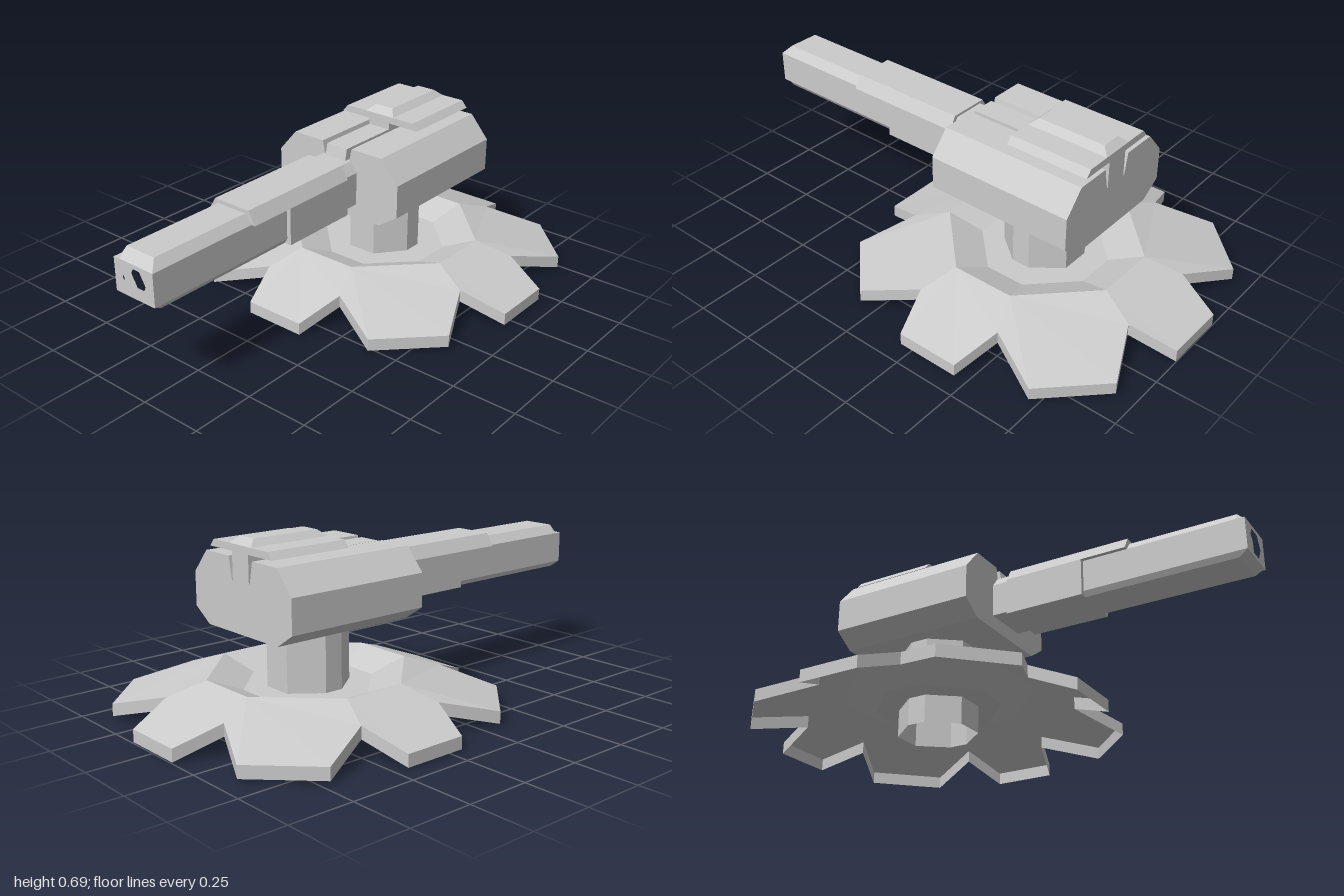
import * as THREE from 'three';

const mat = new THREE.MeshStandardMaterial({ color: 0xcccccc, flatShading: true });
const openMat = new THREE.MeshStandardMaterial({
  color: 0xcccccc, flatShading: true, side: THREE.DoubleSide,
});
const BASE_X = 0.325;

function add(parent, name, geometry, material = mat) {
  const mesh = new THREE.Mesh(geometry, material);
  mesh.name = name;
  parent.add(mesh);
}

// Extrudes a [z, y] outline along x from x0 to x1
function prism(outline, x0, x1, hole) {
  const toPoints = (list) => list.map(([z, y]) => new THREE.Vector2(-z, y));
  const shape = new THREE.Shape(toPoints(outline));
  if (hole) shape.holes.push(new THREE.Path(toPoints(hole)));
  const geo = new THREE.ExtrudeGeometry(shape, { depth: x1 - x0, bevelEnabled: false });
  return geo.rotateY(Math.PI / 2).translate(x0, 0, 0);
}

// Completes a half outline by mirroring it in z
const mirror = (half) => [...half, ...half.map(([z, y]) => [-z, y]).reverse()];

// Moves each vertex by a rule that edits a Vector3
function reshape(geo, rule) {
  const p = geo.attributes.position;
  const v = new THREE.Vector3();
  for (let i = 0; i < p.count; i++) {
    v.fromBufferAttribute(p, i);
    rule(v);
    p.setXYZ(i, v.x, v.y, v.z);
  }
  geo.computeVertexNormals();
  return geo;
}

// Flat polygons to one geometry, centred on the base axis
function polygons(list) {
  const pos = [];
  for (const pts of list) {
    for (let i = 1; i < pts.length - 1; i++) {
      pos.push(...pts[0], ...pts[i], ...pts[i + 1]);
    }
  }
  const geo = new THREE.BufferGeometry();
  geo.setAttribute('position', new THREE.Float32BufferAttribute(pos, 3));
  geo.computeVertexNormals();
  return geo.translate(BASE_X, 0, 0);
}

// Eight-petalled shell, open below, with a sunken middle and a short skirt
function baseGeometry() {
  const faces = [];
  const lower = ([x, y, z]) => [x, y - 0.048, z];
  const ring = ([x, , z], k) => [x * k, 0.11, z * k];
  const axial = [[0.37, 0.165, -0.125], [0.505, 0.117, -0.18], [0.675, 0.053, -0.125],
    [0.675, 0.053, 0.125], [0.505, 0.117, 0.18], [0.37, 0.165, 0.125]];
  const diagonal = [[0.37, 0.165, 0.125], [0.505, 0.117, 0.18], [0.605, 0.06, 0.395],
    [0.395, 0.06, 0.605], [0.18, 0.117, 0.505], [0.125, 0.165, 0.37]];
  for (let q = 0; q < 4; q++) {
    const c = [1, 0, -1, 0][q], s = [0, 1, 0, -1][q];
    for (const petal of [axial, diagonal]) {
      const p = petal.map(([x, y, z]) => [x * c - z * s, y, x * s + z * c]);
      faces.push([...p].reverse());
      for (let i = 1; i < 4; i++) faces.push([p[i], p[i + 1], lower(p[i + 1]), lower(p[i])]);
      const [a, b] = [p[0], p[5]];
      faces.push([ring(a, 0.65), ring(b, 0.65), b, a]);
      faces.push([ring(a, 0.38), ring(b, 0.38), ring(b, 0.65), ring(a, 0.65)]);
    }
  }
  return polygons(faces);
}

// Eight-sided open post
function columnGeometry() {
  const outline = [[0.147, -0.06], [0.147, 0.06], [0.037, 0.147], [-0.037, 0.147],
    [-0.147, 0.06], [-0.147, -0.06], [-0.037, -0.147], [0.037, -0.147]];
  return polygons(outline.map(([x, z], i) => {
    const [x2, z2] = outline[(i + 1) % 8];
    return [[x, 0.36, z], [x2, 0.36, z2], [x2, 0, z2], [x, 0, z]];
  }));
}

export function createModel() {
  const model = new THREE.Group();
  model.name = 'turret';

  add(model, 'petalBase', baseGeometry(), openMat);
  add(model, 'column', columnGeometry(), openMat);

  // Housing with two lobes either side of a central spine
  const housing = new THREE.Group();
  housing.name = 'housing';
  model.add(housing);
  add(housing, 'housingShell', prism(mirror([[0.205, 0.345], [0.288, 0.4], [0.288, 0.53],
    [0.21, 0.62], [0.07, 0.62], [0.053, 0.535]]), 0.02, 0.62));
  add(housing, 'rearSpine', prism(mirror([[0.048, 0.5], [0.048, 0.645]]), 0.28, 0.62));
  add(housing, 'frontSpine', reshape(
    prism(mirror([[0.048, 0.5], [0.048, 0.615]]), -0.005, 0.28),
    (v) => { if (v.y > 0.6 && v.x < 0.1) v.x = 0.02; }));

  // Top plate and ridge with sloped ends
  add(housing, 'topPlate', prism(mirror([[0.183, 0.64], [0.16, 0.667]]), 0.28, 0.62));
  add(housing, 'topRidge', reshape(
    prism(mirror([[0.067, 0.666], [0.04, 0.692]]), 0.28, 0.62),
    (v) => { if (v.y > 0.68) v.x += v.x < 0.4 ? 0.03 : -0.03; }));

  // Gun: neck, shroud, barrel and muzzle
  const gun = new THREE.Group();
  gun.name = 'gun';
  model.add(gun);
  add(gun, 'neck', prism(mirror([[0.095, 0.4], [0.095, 0.53], [0.065, 0.57]]), -0.06, 0.03));
  add(gun, 'shroud', prism(mirror([[0.11, 0.385], [0.11, 0.53], [0.08, 0.58]]), -0.37, -0.05));
  add(gun, 'shroudHood', prism(mirror([[0.11, 0.53], [0.08, 0.58]]), -0.55, -0.37));

  const bore = [];
  for (let i = 0; i < 6; i++) {
    const a = (i * Math.PI) / 3;
    bore.push([0.055 * Math.cos(a), 0.467 + 0.055 * Math.sin(a)]);
  }
  add(gun, 'barrel', prism(mirror([[0.08, 0.385], [0.093, 0.405], [0.093, 0.53], [0.065, 0.565]]),
    -0.965, -0.36, bore));

  // Muzzle flares from a flat face back to the barrel section
  add(gun, 'muzzle', reshape(
    prism(mirror([[0.08, 0.404], [0.093, 0.405], [0.093, 0.53], [0.065, 0.531]]),
      -1, -0.965, bore),
    (v) => {
      if (v.x < -0.98) return;
      if (v.y > 0.5305) v.y = 0.565;
      if (v.y < 0.4045) v.y = 0.385;
    }));

  return model;
}
